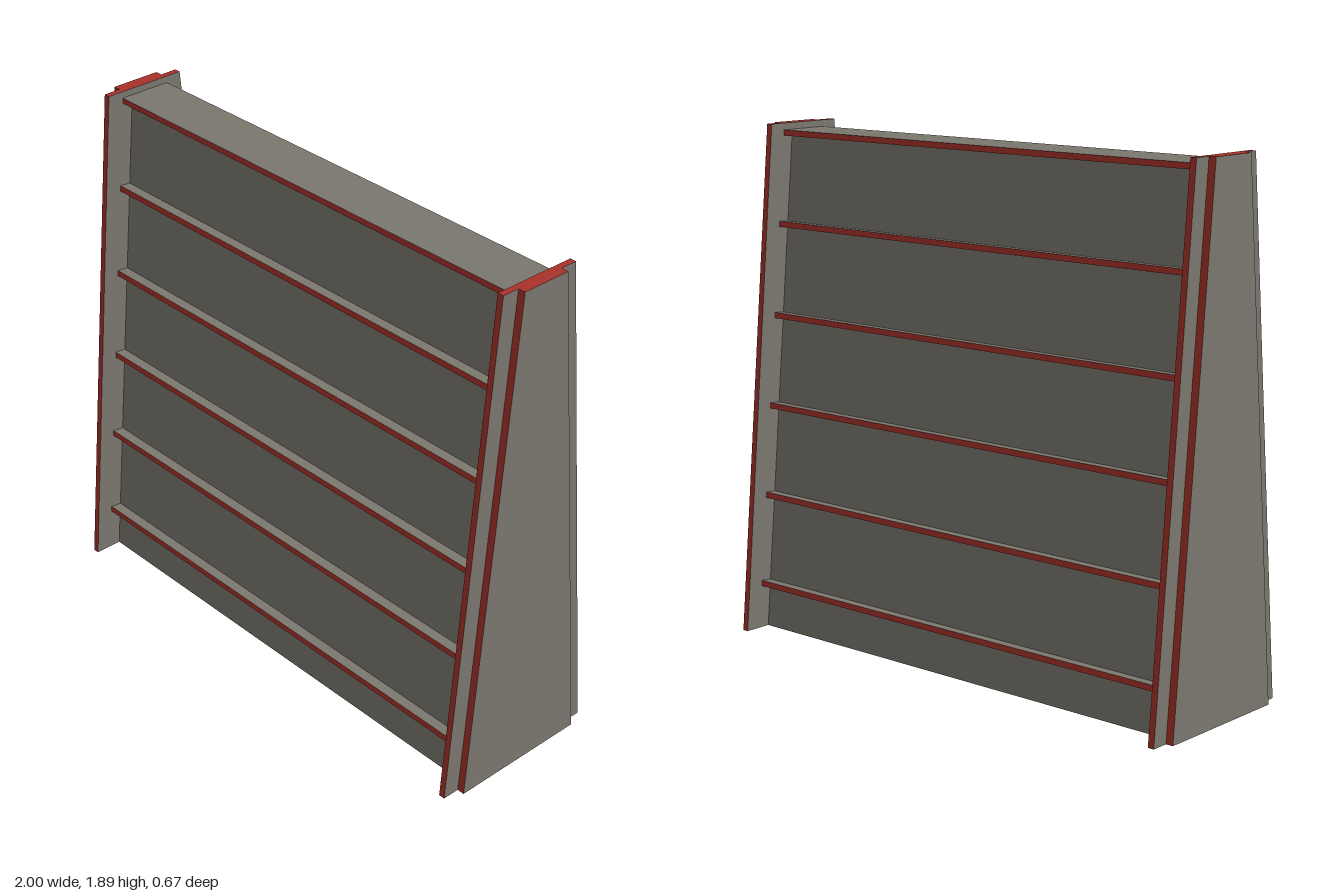
import * as THREE from 'three';

const SLOPE = 0.0926; // inward lean per unit of height
const HEIGHT = 1.89;
const INNER_X = 0.948;
const CAP_Y = 1.855;
const BOARD = 0.021;

export function createModel() {
  const grey = new THREE.MeshStandardMaterial({ color: 0x7a776e });
  grey.name = 'greyBoard';
  const red = new THREE.MeshStandardMaterial({ color: 0xa8322b });
  red.name = 'redEdge';

  const model = new THREE.Group();
  model.name = 'doubleSidedShelf';

  // Extrudes a [z, y] outline from x0 to x1
  const slab = (name, points, x0, x1, materials) => {
    const shape = new THREE.Shape(points.map(([z, y]) => new THREE.Vector2(z, y)));
    const geometry = new THREE.ExtrudeGeometry(shape, { depth: x1 - x0, bevelEnabled: false });
    geometry.rotateY(-Math.PI / 2).translate(x1, 0, 0);
    const mesh = new THREE.Mesh(geometry, materials);
    mesh.name = name;
    return mesh;
  };

  // Board with grey faces and red front and back edges
  const shelfMaterials = [red, red, grey, grey, red, red];
  const board = (name, depth) => {
    const mesh = new THREE.Mesh(new THREE.BoxGeometry(INNER_X * 2, BOARD, depth), shelfMaterials);
    mesh.name = name;
    return mesh;
  };

  // Tapered end panels: a wide inner one and a narrower outer one
  const endPanel = (name, half, x0, x1) => {
    const top = half - SLOPE * HEIGHT;
    return slab(name, [[-half, 0], [half, 0], [top, HEIGHT], [-top, HEIGHT]], x0, x1, [grey, red]);
  };
  model.add(
    endPanel('leftInnerPanel', 0.335, INNER_X, 0.972),
    endPanel('leftOuterPanel', 0.27, 0.972, 1),
    endPanel('rightInnerPanel', 0.335, -0.972, -INNER_X),
    endPanel('rightOuterPanel', 0.27, -1, -0.972),
  );

  // Flat top board
  const cap = board('topBoard', 0.2);
  cap.position.y = CAP_Y;
  model.add(cap);

  // Leaning back wall with five tilted shelves, on both sides
  const wallBase = 0.23, wallThickness = 0.02, wallTop = CAP_Y - 0.005;
  const shelfDepth = 0.085;
  for (const side of ['front', 'back']) {
    const half = new THREE.Group();
    half.name = side + 'Side';
    const topZ = wallBase - SLOPE * wallTop;
    half.add(slab(side + 'Wall', [
      [wallBase - wallThickness, 0], [wallBase, 0],
      [topZ, wallTop], [topZ - wallThickness, wallTop],
    ], -INNER_X, INNER_X, grey));
    for (let i = 0; i < 5; i++) {
      const y = 0.171 + 0.3375 * i;
      const shelf = board(side + 'Shelf' + (i + 1), shelfDepth);
      const edgeZ = 0.273 - SLOPE * y;
      shelf.position.set(0, y - SLOPE * shelfDepth / 2, edgeZ - shelfDepth / 2);
      shelf.rotation.x = -Math.atan(SLOPE);
      half.add(shelf);
    }
    if (side === 'back') half.rotation.y = Math.PI;
    model.add(half);
  }
  return model;
}
